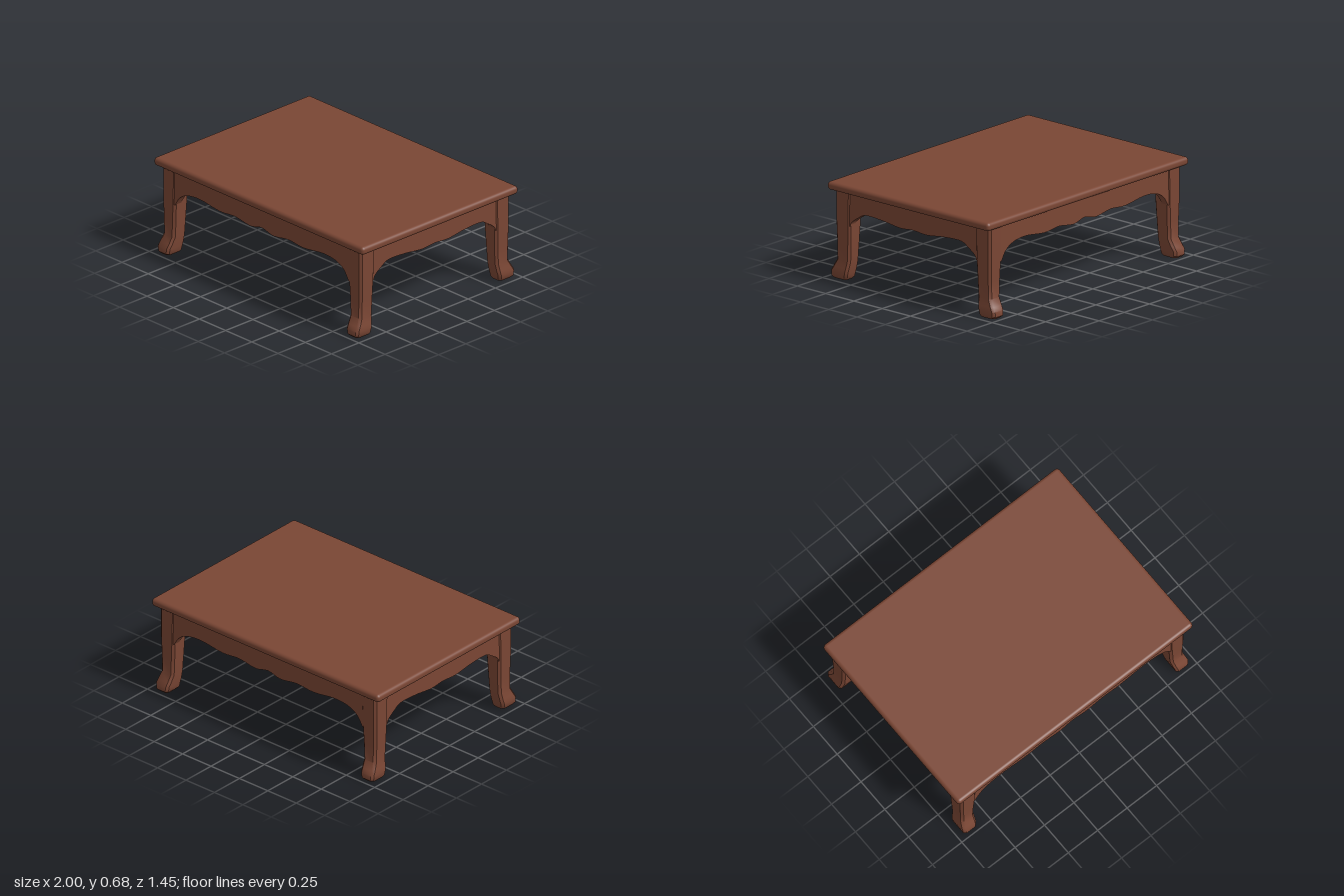
import * as THREE from 'three';
import { toCreasedNormals } from 'three/addons/utils/BufferGeometryUtils.js';
import { RoundedBoxGeometry } from 'three/addons/geometries/RoundedBoxGeometry.js';

// Leg sections: y, inner x, outer x, inner z, outer z
const LEG = [
  [0.0, 0.862, 0.945, 0.595, 0.71],
  [0.015, 0.85, 0.955, 0.585, 0.725],
  [0.05, 0.846, 0.958, 0.578, 0.725],
  [0.08, 0.842, 0.953, 0.572, 0.708],
  [0.13, 0.838, 0.943, 0.566, 0.682],
  [0.25, 0.833, 0.945, 0.56, 0.682],
  [0.4, 0.825, 0.95, 0.555, 0.685],
  [0.625, 0.82, 0.95, 0.55, 0.685],
];

// Loft of chamfered rectangles, mirrored by sx and sz
function legGeometry(sx, sz) {
  const pos = [], idx = [], c = 0.016, n = 8;
  for (const [y, xi, xo, zi, zo] of LEG) {
    const x0 = Math.min(sx * xi, sx * xo), x1 = Math.max(sx * xi, sx * xo);
    const z0 = Math.min(sz * zi, sz * zo), z1 = Math.max(sz * zi, sz * zo);
    const ring = [[x1, z0 + c], [x1 - c, z0], [x0 + c, z0], [x0, z0 + c],
      [x0, z1 - c], [x0 + c, z1], [x1 - c, z1], [x1, z1 - c]];
    for (const [x, z] of ring) pos.push(x, y, z);
  }
  for (let r = 0; r < LEG.length - 1; r++) {
    for (let i = 0; i < n; i++) {
      const a = r * n + i, b = r * n + (i + 1) % n;
      idx.push(a, b, a + n, b, b + n, a + n);
    }
  }
  // Caps
  const top = (LEG.length - 1) * n;
  for (let i = 1; i < n - 1; i++) {
    idx.push(0, i + 1, i, top, top + i, top + i + 1);
  }
  const g = new THREE.BufferGeometry();
  g.setAttribute('position', new THREE.Float32BufferAttribute(pos, 3));
  g.setIndex(idx);
  return toCreasedNormals(g, 0.7);
}

// Scalloped board: half of the lower edge is given from the middle outwards
function apronGeometry(half, end, depth) {
  const pts = half.map(([x, y]) => new THREE.Vector2(x, y));
  const mirrored = pts.slice(1).reverse().map((p) => new THREE.Vector2(-p.x, p.y));
  const edge = new THREE.SplineCurve([...mirrored, ...pts]).getPoints(64);
  const last = pts[pts.length - 1];
  const shape = new THREE.Shape([
    new THREE.Vector2(-end, 0.625), new THREE.Vector2(-end, last.y),
    ...edge,
    new THREE.Vector2(end, last.y), new THREE.Vector2(end, 0.625),
  ]);
  const g = new THREE.ExtrudeGeometry(shape, { depth, bevelEnabled: false });
  g.translate(0, 0, -depth / 2);
  return toCreasedNormals(g, 0.6);
}

export function createModel() {
  const group = new THREE.Group();
  const wood = new THREE.MeshStandardMaterial({ color: 0x7a4634 });
  wood.name = 'reddish brown wood';
  const add = (name, geometry) => {
    const mesh = new THREE.Mesh(geometry, wood);
    mesh.name = name;
    group.add(mesh);
    return mesh;
  };

  // Table top with rounded rim
  add('tableTop', new RoundedBoxGeometry(2, 0.058, 1.43, 4, 0.024)).position.y = 0.646;

  // Four legs with flared feet
  for (const sx of [-1, 1]) {
    for (const sz of [-1, 1]) {
      add(`${sz > 0 ? 'front' : 'back'}${sx > 0 ? 'Left' : 'Right'}Leg`, legGeometry(sx, sz));
    }
  }

  // Long and short aprons
  const longEdge = [[0, 0.482], [0.09, 0.461], [0.15, 0.463], [0.26, 0.479], [0.4, 0.468],
    [0.58, 0.49], [0.7, 0.48], [0.78, 0.44], [0.828, 0.37]];
  const shortEdge = [[0, 0.469], [0.12, 0.461], [0.27, 0.479], [0.42, 0.484], [0.49, 0.45],
    [0.545, 0.41], [0.558, 0.38]];
  for (const s of [-1, 1]) {
    add(s > 0 ? 'frontApron' : 'backApron', apronGeometry(longEdge, 0.86, 0.055)).position.z = s * 0.652;
    const side = add(s > 0 ? 'leftApron' : 'rightApron', apronGeometry(shortEdge, 0.6, 0.055));
    side.rotation.y = Math.PI / 2;
    side.position.x = s * 0.915;
  }

  // Tapered block behind the middle of the front apron
  const block = new THREE.CylinderGeometry(0.11, 0.06, 0.14, 3, 1, false, Math.PI / 2, Math.PI);
  add('centreBlock', toCreasedNormals(block, 0.3)).position.set(0, 0.555, 0.628);

  return group;
}
